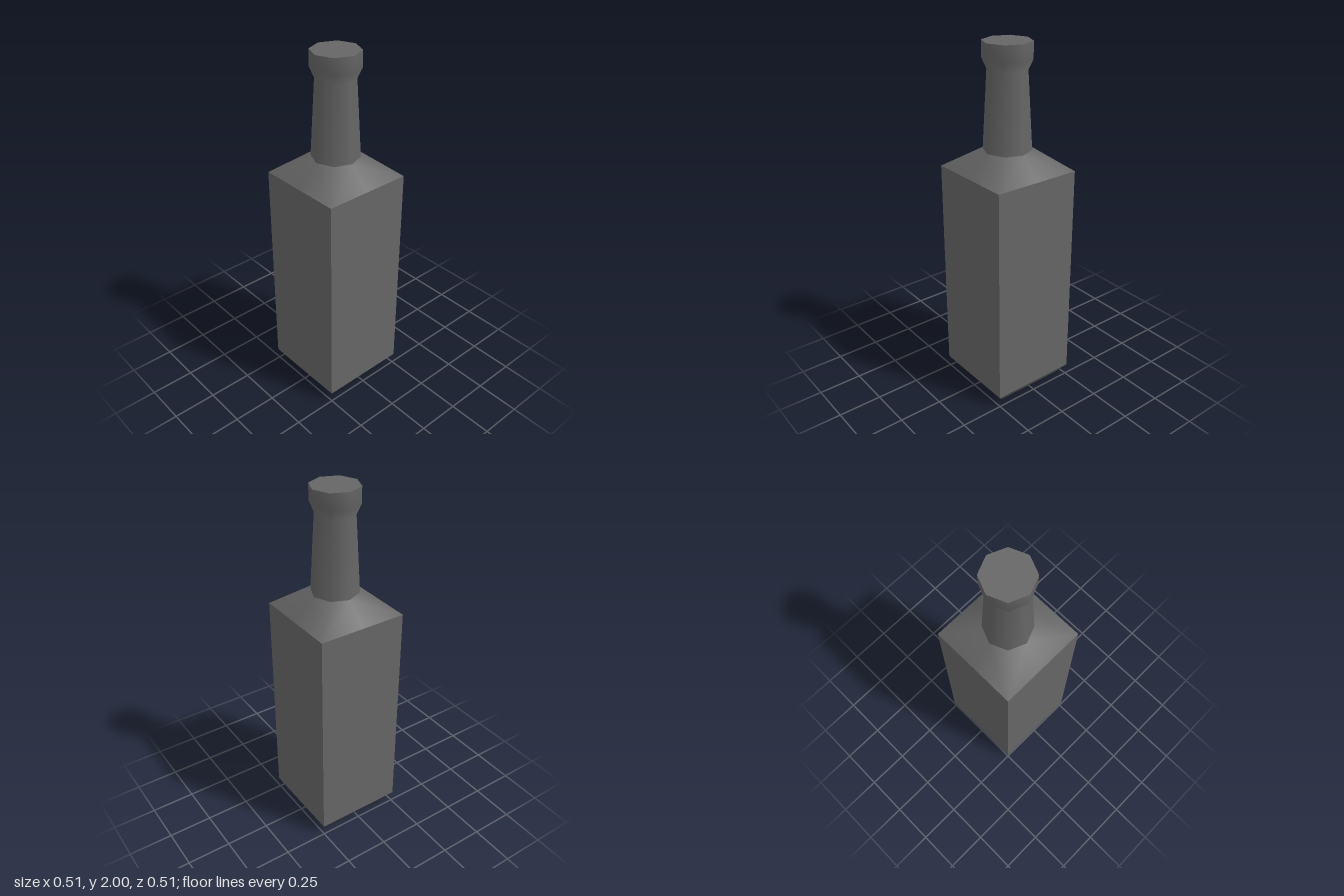
import * as THREE from 'three';

const SIDES = 8;
const NECK_R = 0.132;

// Ring of eight points; square rings push the diagonals out to the corners
function ring(size, y, square) {
  return Array.from({ length: SIDES }, (_, i) => {
    const a = (i / SIDES) * Math.PI * 2;
    const s = Math.sin(a), c = Math.cos(a);
    const k = square ? size / Math.max(Math.abs(s), Math.abs(c)) : size;
    return [s * k, y, c * k];
  });
}

// Band of faces between two rings, folded along the corner-to-axis diagonals
function band(lower, upper, flat = false) {
  const index = [];
  for (let i = 0; i < SIDES; i++) {
    const j = (i + 1) % SIDES;
    const a = i, b = j, c = SIDES + j, d = SIDES + i;
    if (i % 2 === 0) index.push(a, b, d, b, c, d);
    else index.push(a, b, c, a, c, d);
  }
  let geo = new THREE.BufferGeometry();
  geo.setAttribute('position', new THREE.Float32BufferAttribute([...lower, ...upper].flat(), 3));
  geo.setIndex(index);
  if (flat) geo = geo.toNonIndexed();
  geo.computeVertexNormals();
  return geo;
}

export function createModel() {
  const group = new THREE.Group();
  group.name = 'bottle';
  const material = new THREE.MeshStandardMaterial({ color: 0x666666 });
  const add = (name, geometry) => {
    const mesh = new THREE.Mesh(geometry, material);
    mesh.name = name;
    group.add(mesh);
  };

  const foot = ring(0.205, 0, true);
  const bodyBottom = ring(0.255, 0.065, true);
  const bodyTop = ring(0.255, 1.32, true);
  const neckBase = ring(NECK_R, 1.43, false);

  // Square body with a bevelled foot and a shoulder blending to the octagon
  add('base', new THREE.PlaneGeometry(0.41, 0.41).rotateX(Math.PI / 2));
  add('footBevel', band(foot, bodyBottom));
  add('body', band(bodyBottom, bodyTop, true));
  add('shoulder', band(bodyTop, neckBase));

  // Tapered neck flaring into the lip
  const profile = [[NECK_R, 1.43], [0.107, 1.855], [NECK_R, 1.91], [NECK_R, 2]]
    .map(([r, y]) => new THREE.Vector2(r, y));
  add('neck', new THREE.LatheGeometry(profile, SIDES));

  // Flat top of the lip
  add('cap', new THREE.CircleGeometry(NECK_R, SIDES).rotateX(-Math.PI / 2).translate(0, 2, 0));

  return group;
}
